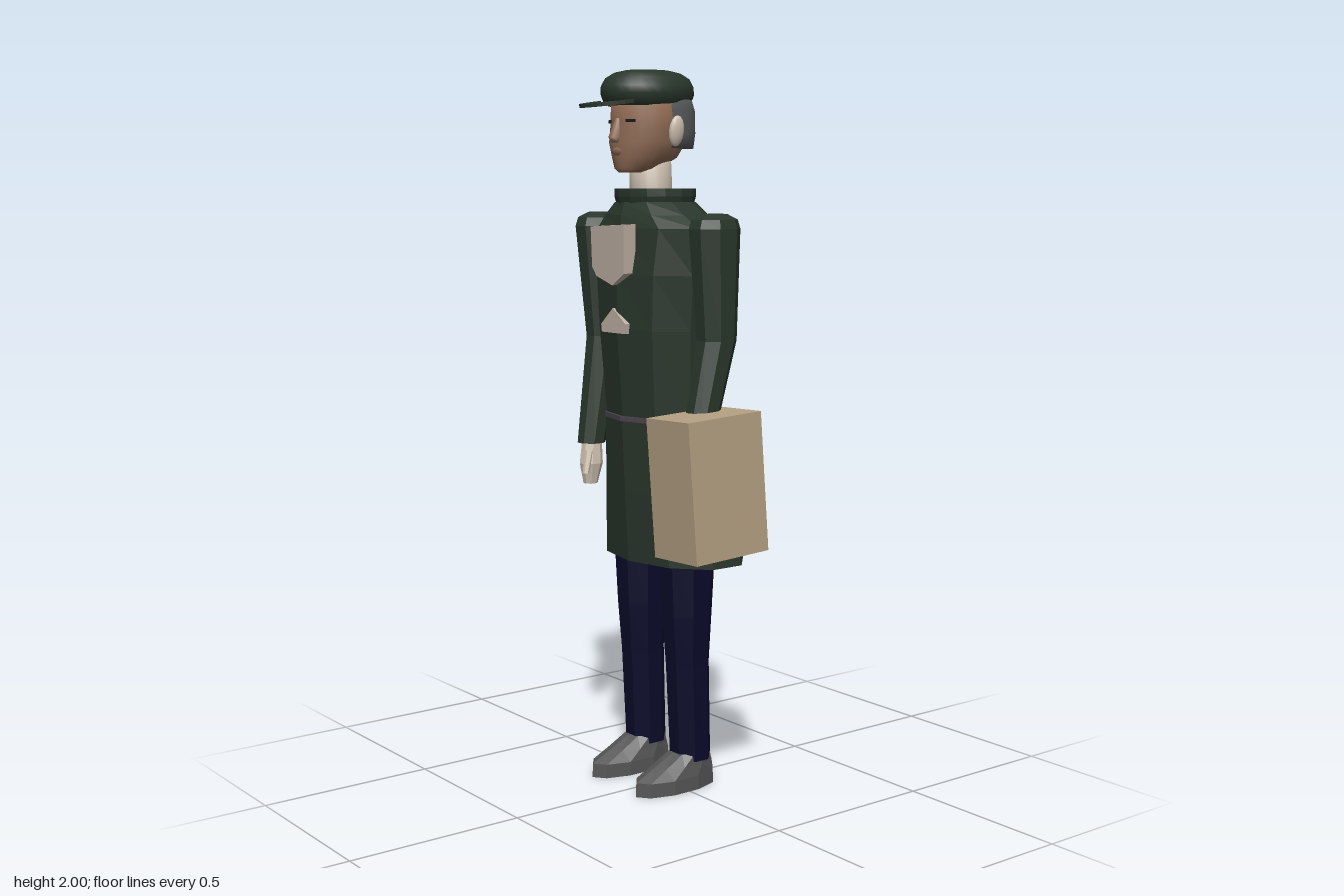
import * as THREE from 'three';
import { mergeVertices } from 'three/addons/utils/BufferGeometryUtils.js';

const CX = -0.053; // head axis

function material(name, color) {
  const m = new THREE.MeshStandardMaterial({ color, side: THREE.DoubleSide });
  m.name = name;
  return m;
}

// Skin over horizontal elliptical rings [x, y, z, rx, rz], bottom to top.
function loft(rings, { sides = 8, phase = 0, smooth = false, caps = true } = {}) {
  const pts = rings.map(([x, y, z, rx, rz]) => Array.from({ length: sides }, (_, j) => {
    const a = phase + j / sides * Math.PI * 2;
    return [x + Math.cos(a) * rx, y, z + Math.sin(a) * rz];
  }));
  const out = [];
  const tri = (...p) => p.forEach(v => out.push(...v));
  const last = rings.length - 1;
  for (let j = 0; j < sides; j++) {
    const k = (j + 1) % sides;
    for (let i = 0; i < last; i++) {
      tri(pts[i][j], pts[i + 1][j], pts[i + 1][k]);
      tri(pts[i][j], pts[i + 1][k], pts[i][k]);
    }
    if (caps) {
      tri(rings[0].slice(0, 3), pts[0][j], pts[0][k]);
      tri(rings[last].slice(0, 3), pts[last][k], pts[last][j]);
    }
  }
  let g = new THREE.BufferGeometry();
  g.setAttribute('position', new THREE.Float32BufferAttribute(out, 3));
  if (smooth) g = mergeVertices(g, 1e-5);
  g.computeVertexNormals();
  return g;
}

// Flat panel cut from an outline, with thickness toward +z.
function panel(outline, depth) {
  const shape = new THREE.Shape(outline.map(([x, y]) => new THREE.Vector2(x, y)));
  return new THREE.ExtrudeGeometry(shape, { depth, bevelEnabled: false });
}

export function createModel() {
  const group = new THREE.Group();
  const coat = material('coat green', 0x29362b);
  const trousers = material('trouser navy', 0x0a0a2b);
  const shoe = material('shoe grey', 0x565656);
  const hair = material('hair grey', 0x58595b);
  const face = material('face brown', 0x8f6b54);
  const skin = material('pale skin', 0xd2c4b4);
  const shirt = material('shirt beige', 0xbfb0a4);
  const card = material('parcel tan', 0xb6a183);
  const beltColor = material('belt purple', 0x4e434f);
  const black = material('eye black', 0x151515);

  const add = (name, geometry, mat, x = 0, y = 0, z = 0) => {
    const mesh = new THREE.Mesh(geometry, mat);
    mesh.name = name;
    mesh.position.set(x, y, z);
    group.add(mesh);
    return mesh;
  };
  const ten = { sides: 10, phase: Math.PI / 10 };

  // Coat: flared skirt, torso and open standing collar
  const skirt = loft([
    [-0.033, 0.65, -0.062, 0.25, 0.163],
    [-0.033, 0.85, -0.042, 0.221, 0.155],
    [-0.033, 1.05, -0.02, 0.193, 0.142],
  ], ten);
  add('coatSkirt', skirt, coat);
  add('coatTorso', loft([
    [-0.033, 1.04, -0.02, 0.188, 0.138],
    [-0.035, 1.3, -0.01, 0.207, 0.146],
    [-0.037, 1.45, -0.008, 0.222, 0.145],
    [-0.038, 1.575, -0.01, 0.236, 0.132],
    [-0.045, 1.61, -0.008, 0.18, 0.122],
    [-0.05, 1.645, -0.006, 0.122, 0.105],
  ], ten), coat);
  add('collar', loft([
    [-0.05, 1.63, -0.006, 0.112, 0.1],
    [-0.05, 1.66, -0.006, 0.12, 0.108],
    [-0.05, 1.682, -0.006, 0.119, 0.108],
    [-0.05, 1.677, -0.006, 0.1, 0.09],
    [-0.05, 1.64, -0.006, 0.095, 0.085],
  ], { sides: 14, caps: false }), coat);
  add('belt', loft([
    [-0.033, 1.047, -0.008, 0.183, 0.136],
    [-0.033, 1.06, -0.008, 0.183, 0.136],
  ], ten), beltColor);
  add('pocketTab', new THREE.BoxGeometry(0.012, 0.028, 0.008), trousers, -0.207, 0.94, 0.037);

  // Shirt front showing through the coat opening
  add('shirtFront', panel([
    [-0.127, 0.15], [-0.127, 0.04], [-0.108, 0.015], [-0.035, -0.008],
    [0.02, 0.025], [0.028, 0.157],
  ], 0.04), shirt, 0, 1.43, 0.112).rotation.x = 0.04;
  add('shirtGap', panel([
    [-0.1, 0], [-0.103, 0.022], [-0.048, 0.068], [0.01, 0.027], [0.006, 0],
  ], 0.03), shirt, 0, 1.29, 0.111);

  // Sleeves with pointed shoulder caps, and hands
  const eight = { sides: 8, phase: Math.PI / 8 };
  add('rightSleeve', loft([
    [-0.297, 0.95, 0.04, 0.04, 0.042],
    [-0.3, 1.26, -0.012, 0.05, 0.056],
    [-0.313, 1.575, -0.005, 0.064, 0.074],
    [-0.313, 1.6, -0.005, 0.058, 0.066],
    [-0.313, 1.615, -0.005, 0.03, 0.035],
  ], eight), coat);
  add('leftSleeve', loft([
    [0.222, 1.0, 0.06, 0.04, 0.045],
    [0.217, 1.28, -0.01, 0.05, 0.058],
    [0.213, 1.575, -0.005, 0.064, 0.074],
    [0.213, 1.6, -0.005, 0.058, 0.066],
    [0.213, 1.615, -0.005, 0.03, 0.035],
  ], eight), coat);
  add('rightHand', loft([
    [-0.296, 0.83, 0.045, 0.018, 0.022],
    [-0.292, 0.89, 0.045, 0.029, 0.036],
    [-0.295, 0.96, 0.04, 0.026, 0.03],
  ], eight), skin);
  add('rightThumb', loft([
    [-0.272, 0.865, 0.078, 0.009, 0.01],
    [-0.28, 0.93, 0.06, 0.013, 0.014],
  ], { sides: 6 }), skin);

  // Parcel held under the left hand
  const parcel = add('parcel', new THREE.BoxGeometry(0.18, 0.375, 0.243), card, 0.277, 0.905, 0.067);
  parcel.rotation.set(0.055, 0, 0.03);

  // Legs and shoes
  for (const [side, x] of [['right', -0.145], ['left', 0.065]]) {
    add(side + 'Leg', loft([
      [x, 0.08, -0.043, 0.056, 0.06],
      [x, 0.36, -0.032, 0.062, 0.063],
      [x, 0.5, -0.03, 0.07, 0.073],
      [x, 0.7, -0.03, 0.078, 0.084],
    ], eight), trousers);
    add(side + 'Shoe', loft([
      [x, 0, 0.012, 0.058, 0.138],
      [x, 0.04, 0.012, 0.058, 0.136],
      [x, 0.07, -0.015, 0.053, 0.1],
      [x, 0.102, -0.04, 0.05, 0.06],
    ], { sides: 10, phase: Math.PI / 10 }), shoe);
  }

  // Neck and face
  const round = { sides: 24, smooth: true };
  add('neck', loft([
    [CX, 1.62, 0.005, 0.062, 0.06],
    [CX, 1.76, 0.008, 0.058, 0.057],
  ], round), skin);
  add('face', loft([
    [CX, 1.725, 0.075, 0.03, 0.034],
    [CX, 1.735, 0.055, 0.05, 0.065],
    [CX, 1.765, 0.028, 0.076, 0.095],
    [CX, 1.805, 0.018, 0.095, 0.11],
    [CX, 1.86, 0.014, 0.1, 0.106],
    [CX, 1.93, 0.012, 0.098, 0.108],
  ], round), face);
  add('nose', loft([
    [CX, 1.805, 0.122, 0.014, 0.012],
    [CX, 1.818, 0.126, 0.017, 0.022],
    [CX, 1.87, 0.112, 0.009, 0.012],
  ], { sides: 8, smooth: true }), face);
  add('lips', loft([
    [CX, 1.77, 0.112, 0.02, 0.012],
    [CX, 1.782, 0.114, 0.028, 0.016],
    [CX, 1.792, 0.114, 0.02, 0.012],
  ], { sides: 10, smooth: true }), face);

  // Hair wraps the back of the head and fills the hat opening
  add('hair', loft([
    [CX, 1.79, -0.032, 0.096, 0.08],
    [CX, 1.83, -0.026, 0.104, 0.092],
    [CX, 1.89, -0.022, 0.105, 0.095],
    [CX, 1.92, -0.01, 0.1, 0.1],
    [CX, 1.955, 0.015, 0.08, 0.095],
    [CX, 1.98, 0.0175, 0.045, 0.055],
  ], round), hair);

  for (const s of [-1, 1]) {
    const name = s < 0 ? 'right' : 'left';
    const ear = add(name + 'Ear', new THREE.SphereGeometry(1, 12, 8), skin, CX + s * 0.107, 1.835, 0);
    ear.scale.set(0.013, 0.042, 0.024);
    ear.rotation.z = -s * 0.15;
    const eye = add(name + 'Eye', new THREE.BoxGeometry(0.026, 0.008, 0.006), black, CX + s * 0.046, 1.862, 0.109);
    eye.rotation.y = s * 0.45;
  }

  // Round cap with an opening on top
  const cap = [[0.092, 1.903], [0.103, 1.912], [0.11, 1.935], [0.109, 1.955], [0.099, 1.977],
    [0.078, 1.992], [0.052, 1.999], [0.038, 1.993], [0.033, 1.975]];
  add('cap', loft(cap.map(([r, y]) => [CX, y, 0.0175, r, r * 1.25]),
    { sides: 28, smooth: true, caps: false }), coat);

  // Crescent visor
  const crescent = new THREE.Shape();
  crescent.moveTo(-0.089, 0);
  crescent.bezierCurveTo(-0.07, 0.133, 0.07, 0.133, 0.089, 0);
  crescent.lineTo(0.076, -0.01);
  crescent.bezierCurveTo(0.05, 0.074, -0.05, 0.074, -0.076, -0.01);
  crescent.closePath();
  const visor = add('visor', new THREE.ExtrudeGeometry(crescent,
    { depth: 0.01, bevelEnabled: false, curveSegments: 16 }), coat, CX, 1.917, 0.13);
  visor.rotation.x = Math.PI / 2 + 0.13;

  return group;
}
